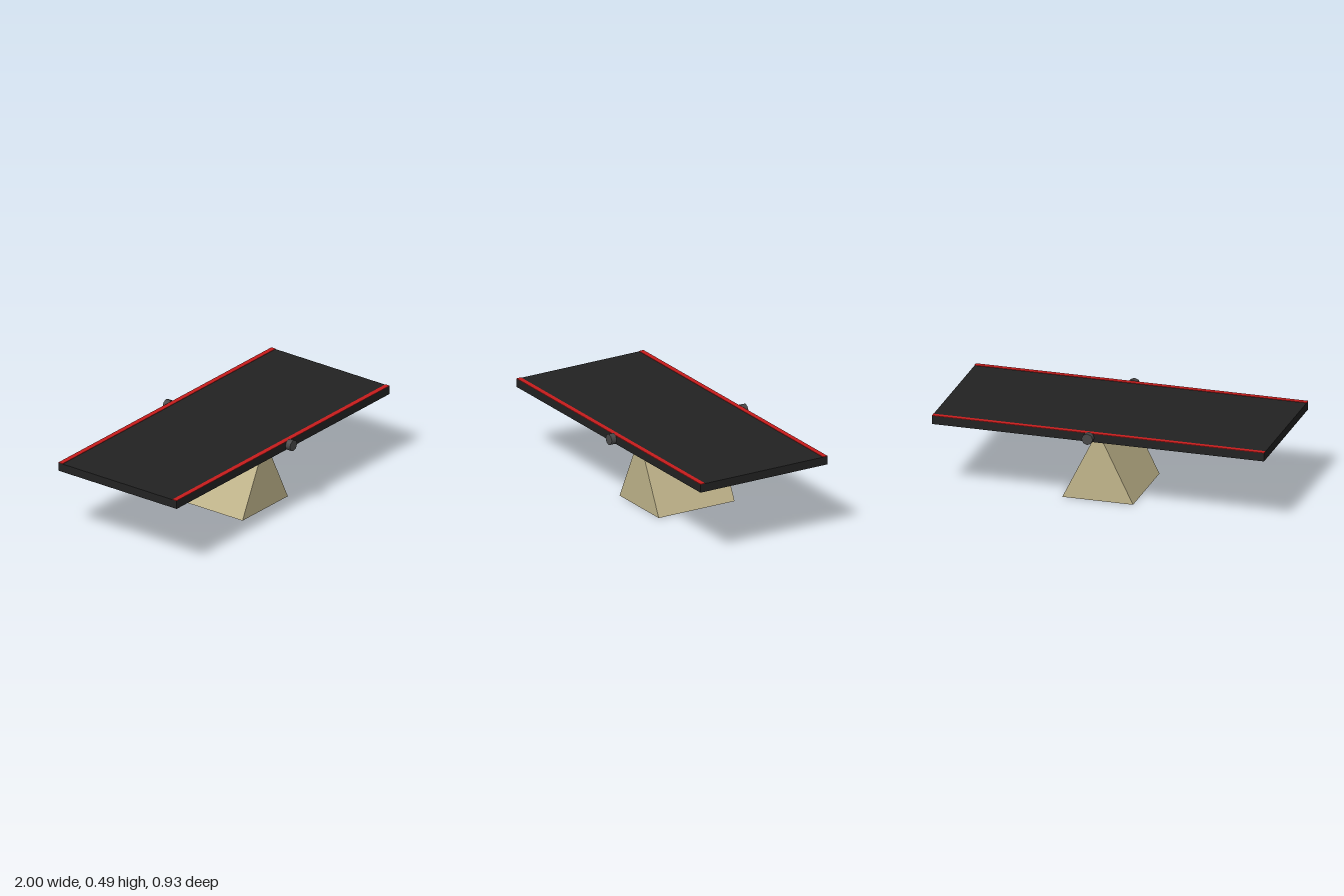
import * as THREE from 'three';

export function createModel() {
  const model = new THREE.Group();
  const mat = (name, color) => {
    const m = new THREE.MeshStandardMaterial({ color });
    m.name = name;
    return m;
  };
  const black = mat('black board', 0x222222);
  const red = mat('red trim', 0xc81c1c);
  const grey = mat('dark grey metal', 0x484848);
  const sand = mat('sand', 0xc2b68c);

  const add = (name, geometry, material, x, y, z) => {
    const mesh = new THREE.Mesh(geometry, material);
    mesh.name = name;
    mesh.position.set(x, y, z);
    model.add(mesh);
    return mesh;
  };

  const pivotX = 0.055;

  // Triangular prism that carries the board
  const triangle = new THREE.Shape([
    new THREE.Vector2(-0.213, 0),
    new THREE.Vector2(0.213, 0),
    new THREE.Vector2(0, 0.43),
  ]);
  const prism = new THREE.ExtrudeGeometry(triangle, { depth: 0.514, bevelEnabled: false });
  add('fulcrum', prism, sand, pivotX, 0, -0.257);

  // Flat plank
  add('board', new THREE.BoxGeometry(2, 0.05, 0.86), black, 0, 0.455, 0);

  // Edge trim and pivot knob on each long side
  for (const [side, s] of [['front', 1], ['back', -1]]) {
    add(side + 'Trim', new THREE.BoxGeometry(2, 0.003, 0.03), red, 0, 0.4812, s * 0.415);
    const knob = new THREE.CylinderGeometry(0.034, 0.034, 0.034, 8);
    knob.rotateX(Math.PI / 2);
    add(side + 'Knob', knob, grey, pivotX, 0.456, s * 0.446);
  }
  return model;
}
